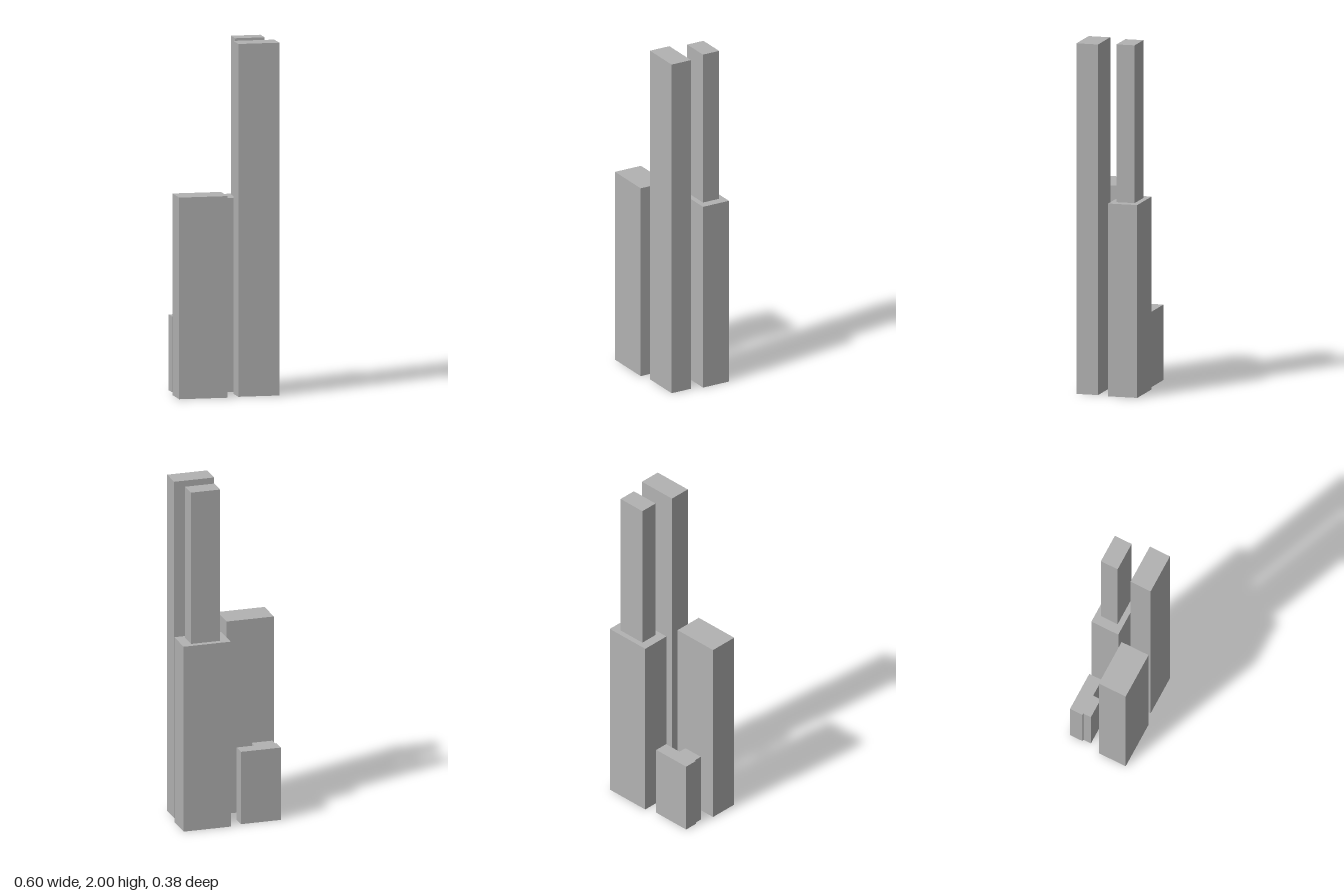
import * as THREE from 'three';

const grey = new THREE.MeshStandardMaterial({ color: 0xb2b2b2 });
grey.name = 'concreteGrey';

// Box given by its extents on each axis
function block(name, [x0, x1], [y0, y1], [z0, z1]) {
  const mesh = new THREE.Mesh(new THREE.BoxGeometry(x1 - x0, y1 - y0, z1 - z0), grey);
  mesh.position.set((x0 + x1) / 2, (y0 + y1) / 2, (z0 + z1) / 2);
  mesh.name = name;
  return mesh;
}

export function createModel() {
  const model = new THREE.Group();
  model.name = 'towerCluster';

  // Tall front tower and the broad mid-height tower beside it
  model.add(block('tallTower', [0.043, 0.279], [0, 2], [0.043, 0.17]));
  model.add(block('midTower', [-0.302, -0.023], [0, 1.143], [0.021, 0.191]));

  // Stepped tower: wide base with a set-back shaft
  const stepped = new THREE.Group();
  stepped.name = 'steppedTower';
  stepped.add(block('steppedBase', [0.021, 0.3], [0, 1.1], [-0.193, -0.023]));
  stepped.add(block('steppedShaft', [0.075, 0.246], [1.1, 2], [-0.161, -0.055]));
  model.add(stepped);

  // Low building with a projecting wing; plan drawn as (x, -z), extruded upwards
  const plan = new THREE.Shape([
    [-0.28, 0.093], [-0.271, 0.093], [-0.271, 0.045], [-0.15, 0.045],
    [-0.15, 0.093], [-0.045, 0.093], [-0.045, 0.172], [-0.28, 0.172],
  ].map(([x, y]) => new THREE.Vector2(x, y)));
  const lowGeometry = new THREE.ExtrudeGeometry(plan, { depth: 0.43, bevelEnabled: false });
  lowGeometry.rotateX(-Math.PI / 2);
  const low = new THREE.Mesh(lowGeometry, grey);
  low.name = 'lowBuilding';
  model.add(low);

  return model;
}
